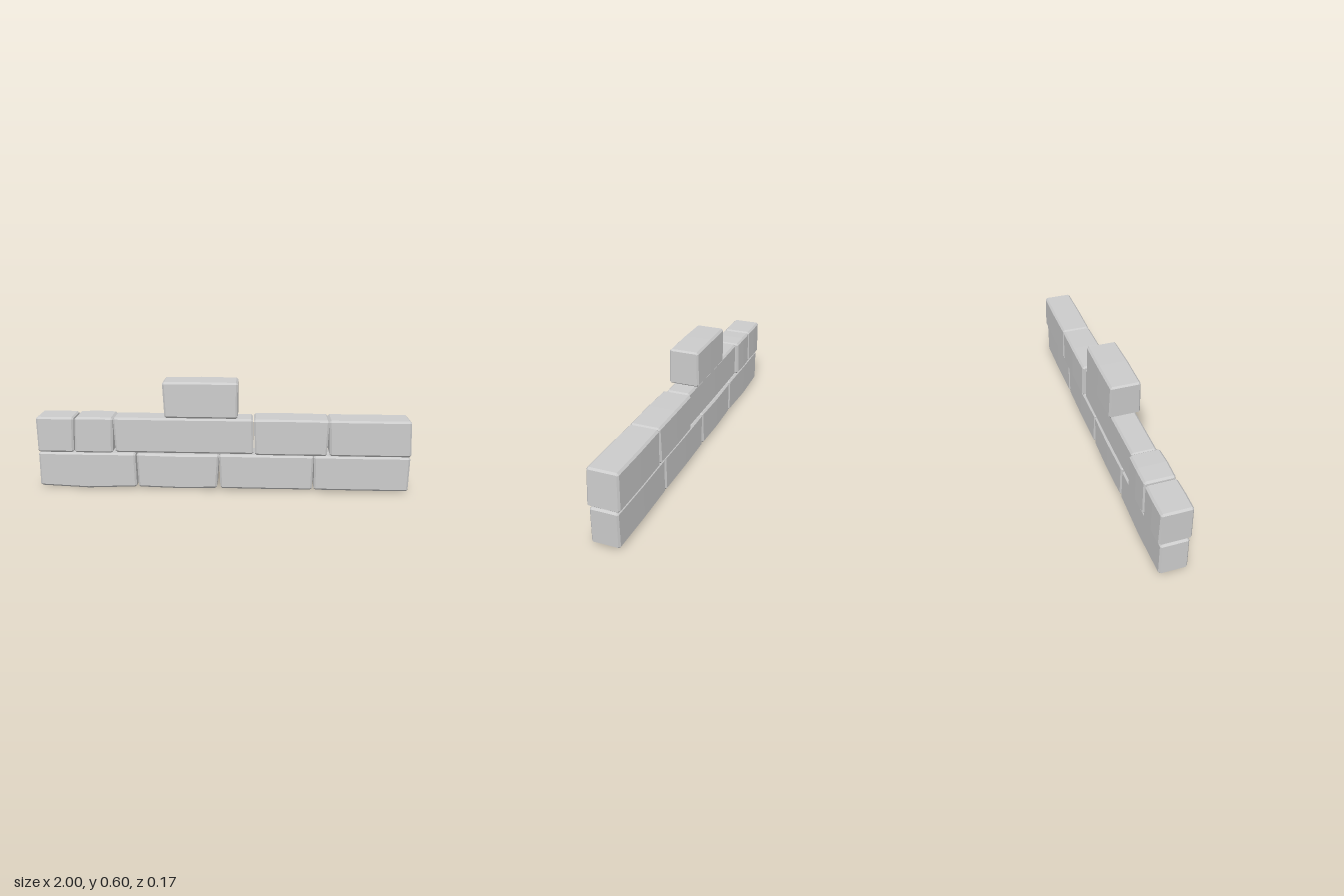
import * as THREE from 'three';

const CHAMFER = 0.01;

// Chamfered brick swept along x: end cap, shoulder, bowed middle, shoulder, end cap.
// tiltL / tiltR lean the ends, sag and rise bend the underside and the top, taper narrows the top.
function brickGeometry({ x0, x1, y0, y1, depth, tiltL = 0, tiltR = 0, sag = 0, rise = 0, bow = 0.002, taper = 0.003 }) {
  const c = CHAMFER;
  const stations = [[0, 1, 0], [c, 0, 0], [(x1 - x0) / 2, 0, 1], [x1 - x0 - c, 0, 0], [x1 - x0, 1, 0]];
  const rings = stations.map(([dx, cap, mid]) => {
    const inset = cap * c * 0.8;
    const b = y0 + inset - sag * mid, t = y1 - inset + rise * mid;
    const zb = depth - inset + bow * mid, zt = zb - taper;
    const k = cap ? c * 0.3 : c;
    const section = [
      [b, zb - k], [b + k, zb], [t - k, zt], [t, zt - k],
      [t, -zt + k], [t - k, -zt], [b + k, -zb], [b, -zb + k],
    ];
    const u = dx / (x1 - x0);
    return section.map(([y, z]) => {
      const lean = (y - (y0 + y1) / 2) / (y1 - y0);
      return [x0 + dx + lean * (tiltL * (1 - u) + tiltR * u), y, z];
    });
  });

  const pos = [];
  const tri = (a, b, d) => pos.push(...a, ...b, ...d);
  const n = rings[0].length;
  for (let s = 0; s < rings.length - 1; s++) {
    for (let i = 0; i < n; i++) {
      const j = (i + 1) % n, A = rings[s], B = rings[s + 1];
      tri(A[i], B[i], B[j]);
      tri(A[i], B[j], A[j]);
    }
  }
  const first = rings[0], last = rings[rings.length - 1];
  for (let i = 1; i < n - 1; i++) {
    tri(first[0], first[i], first[i + 1]);
    tri(last[0], last[i + 1], last[i]);
  }
  const geometry = new THREE.BufferGeometry();
  geometry.setAttribute('position', new THREE.Float32BufferAttribute(pos, 3));
  geometry.computeVertexNormals();
  return geometry;
}

export function createModel() {
  const model = new THREE.Group();
  model.name = 'brickWall';
  const material = new THREE.MeshStandardMaterial({ color: 0xcccccc, flatShading: true });

  const courses = {
    // four bricks with slightly sagging undersides
    bottomCourse: {
      base: { y0: 0.012, y1: 0.202, depth: 0.072, taper: 0.001 },
      bricks: [
        { x0: -0.998, x1: -0.47, tiltR: -0.005, sag: 0.01 },
        { x0: -0.461, x1: -0.026, tiltL: -0.008, tiltR: 0.012, sag: 0.004, rise: -0.003 },
        { x0: -0.016, x1: 0.483, tiltL: -0.008, tiltR: 0.004 },
        { x0: 0.489, x1: 0.993, tiltL: -0.004, tiltR: 0.004 },
      ],
    },
    // two short bricks, a long narrow one and two medium ones
    middleCourse: {
      base: { y0: 0.206, y1: 0.4, depth: 0.081 },
      bricks: [
        { x0: -0.998, x1: -0.8, tiltL: -0.004, tiltR: 0.006 },
        { x0: -0.794, x1: -0.588, tiltL: 0.008, tiltR: 0.006, rise: 0.003 },
        { x0: -0.583, x1: 0.162, tiltL: -0.01, tiltR: -0.006, depth: 0.067, y1: 0.398 },
        { x0: 0.168, x1: 0.558, tiltL: -0.008, tiltR: 0.008, rise: 0.002 },
        { x0: 0.565, x1: 0.992, tiltL: -0.008, tiltR: -0.008 },
      ],
    },
    // single loose brick
    topCourse: {
      base: { y0: 0.404, y1: 0.596, depth: 0.083, taper: 0.004 },
      bricks: [{ x0: -0.313, x1: 0.079, tiltL: -0.01, rise: 0.002 }],
    },
  };

  for (const [name, { base, bricks }] of Object.entries(courses)) {
    const course = new THREE.Group();
    course.name = name;
    bricks.forEach((spec, i) => {
      const brick = new THREE.Mesh(brickGeometry({ ...base, ...spec }), material);
      brick.name = `brick${i + 1}`;
      course.add(brick);
    });
    model.add(course);
  }
  return model;
}
